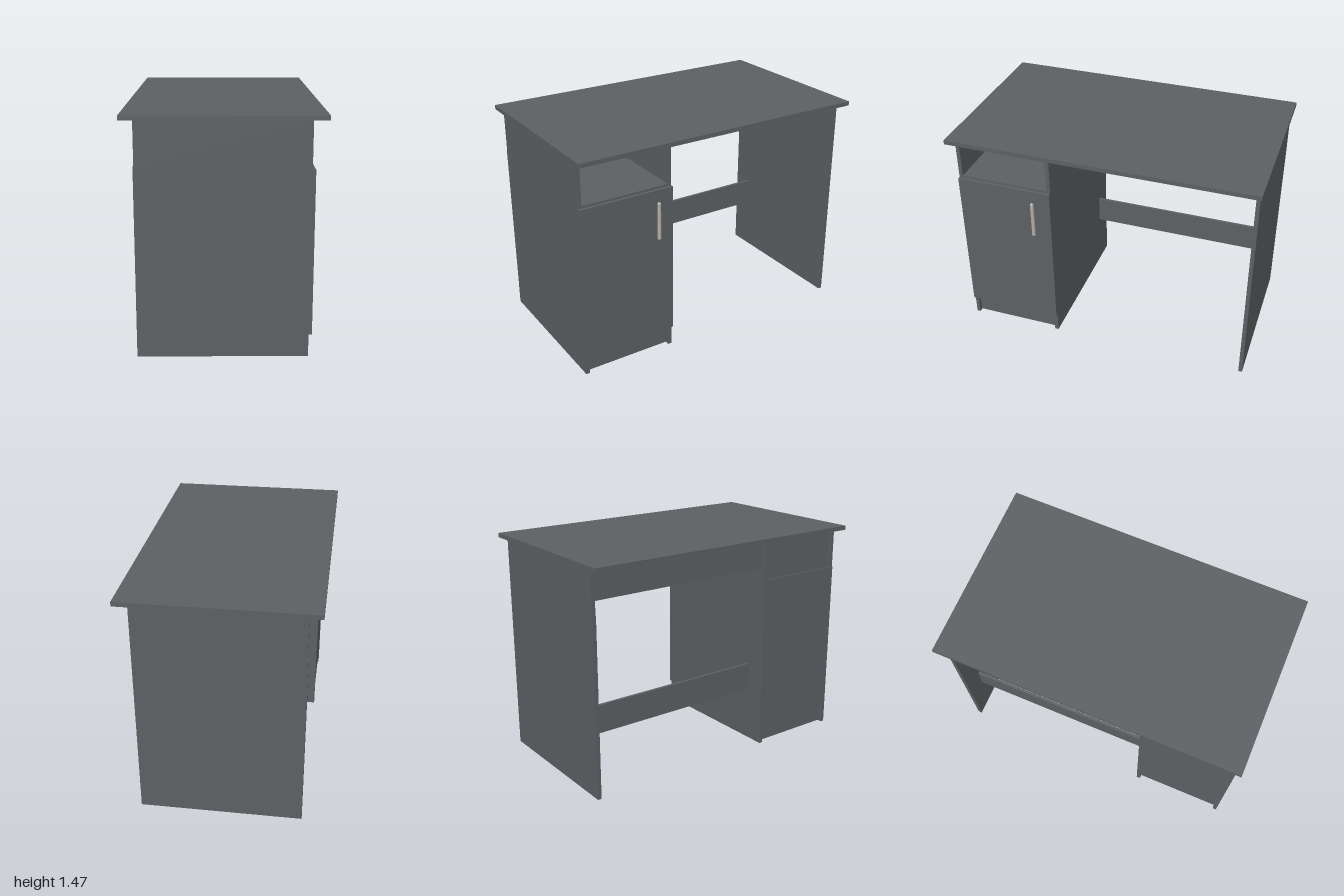
import * as THREE from 'three';

export function createModel() {
  const desk = new THREE.Group();
  desk.name = 'desk';

  const board = new THREE.MeshStandardMaterial({ color: 0x5c6063 });
  board.name = 'grey board';
  const metal = new THREE.MeshStandardMaterial({ color: 0xb5aea8 });
  metal.name = 'brushed metal';

  // Box given by its limits along each axis
  function slab(name, [x0, x1], [y0, y1], [z0, z1]) {
    const mesh = new THREE.Mesh(new THREE.BoxGeometry(x1 - x0, y1 - y0, z1 - z0), board);
    mesh.position.set((x0 + x1) / 2, (y0 + y1) / 2, (z0 + z1) / 2);
    mesh.name = name;
    desk.add(mesh);
  }

  // Upright panels, with a slight step in the rear edge
  const outline = new THREE.Shape([
    [-0.525, 0], [0.505, 0], [0.505, 1.44], [-0.52, 1.44], [-0.52, 1.17], [-0.525, 1.17],
  ].map(([x, y]) => new THREE.Vector2(x, y)));
  const panelGeometry = new THREE.ExtrudeGeometry(outline, { depth: 0.025, bevelEnabled: false });
  const panels = { legPanel: -0.98, cabinetInnerPanel: 0.34, cabinetOuterPanel: 0.95 };
  for (const [name, z] of Object.entries(panels)) {
    const panel = new THREE.Mesh(panelGeometry, board);
    panel.position.z = z;
    panel.name = name;
    desk.add(panel);
  }

  slab('desktop', [-0.6, 0.595], [1.44, 1.468], [-1, 1]);

  // Boards joining the leg to the cabinet
  const span = [-0.955, 0.34];
  slab('upperRail', [-0.5, -0.48], [1.25, 1.44], span);
  slab('footRail', [-0.39, -0.37], [0.365, 0.55], span);

  // Cabinet boards between its two side panels
  const inside = [0.365, 0.95];
  slab('cabinetBottom', [-0.515, 0.505], [0.12, 0.14], inside);
  slab('nicheShelf', [-0.515, 0.505], [1.145, 1.165], inside);
  slab('nicheBack', [-0.5, -0.48], [1.165, 1.44], inside);
  slab('cabinetBack', [-0.524, -0.515], [0.14, 1.17], inside);
  slab('frontKickboard', [0.46, 0.48], [0.005, 0.12], inside);
  slab('backKickboard', [-0.5, -0.48], [0.005, 0.12], inside);

  // Door with a rounded bar handle
  slab('door', [0.505, 0.525], [0.14, 1.15], [0.34, 0.975]);
  const handle = new THREE.Mesh(new THREE.CapsuleGeometry(0.012, 0.232, 6, 16), metal);
  handle.position.set(0.548, 0.953, 0.453);
  handle.name = 'doorHandle';
  desk.add(handle);

  return desk;
}
